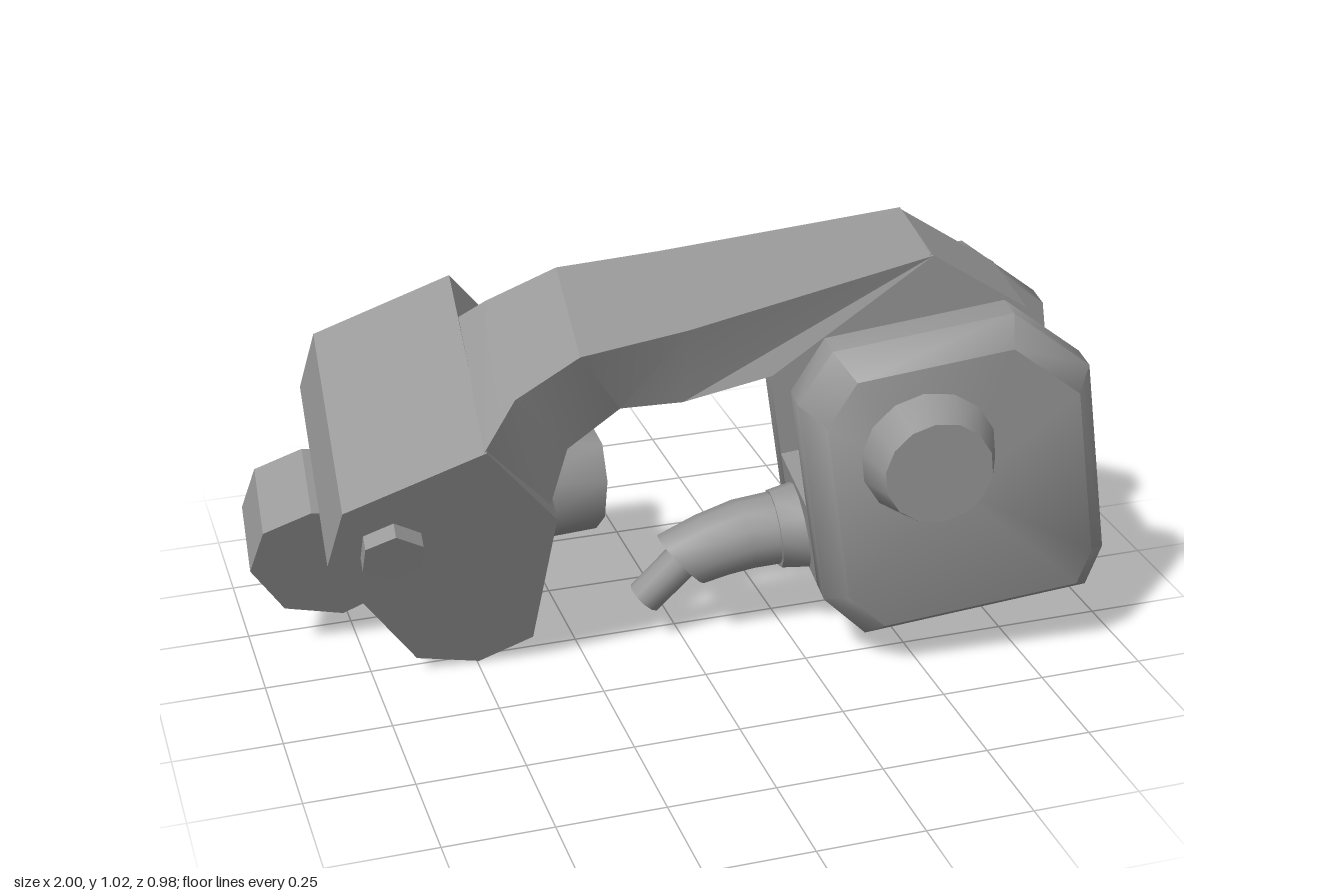
import * as THREE from 'three';
import { toCreasedNormals } from 'three/addons/utils/BufferGeometryUtils.js';

const V = (x, y, z) => new THREE.Vector3(x, y, z);

// Skin through rings of equal point count, with convex end caps; always wound outward.
function loft(rings, crease = 0.3) {
  const tris = [];
  const n = rings[0].length;
  for (let r = 0; r + 1 < rings.length; r++) {
    for (let i = 0; i < n; i++) {
      const j = (i + 1) % n;
      const [a, b, c, d] = [rings[r][i], rings[r][j], rings[r + 1][j], rings[r + 1][i]];
      tris.push([a, b, c], [a, c, d]);
    }
  }
  const cap = (ring, flip) => {
    const mid = ring.reduce((s, p) => s.add(p), V(0, 0, 0)).divideScalar(n);
    for (let i = 0; i < n; i++) {
      const j = (i + 1) % n;
      tris.push(flip ? [mid, ring[j], ring[i]] : [mid, ring[i], ring[j]]);
    }
  };
  cap(rings[0], true);
  cap(rings[rings.length - 1], false);
  const o = rings[0][0];
  let volume = 0;
  for (const [a, b, c] of tris) {
    volume += a.clone().sub(o).dot(b.clone().sub(o).cross(c.clone().sub(o)));
  }
  const points = tris.flatMap(([a, b, c]) => (volume < 0 ? [a, c, b] : [a, b, c]));
  const geometry = new THREE.BufferGeometry().setFromPoints(points);
  return toCreasedNormals(geometry, crease);
}

// Turn a geometry whose axis is +y so that it runs from a towards b.
function aim(geometry, a, b) {
  const q = new THREE.Quaternion().setFromUnitVectors(V(0, 1, 0), b.clone().sub(a).normalize());
  return geometry.applyQuaternion(q).translate(a.x, a.y, a.z);
}

function rod(a, b, ra, rb, sides, crease = 0.7) {
  const length = a.distanceTo(b);
  const g = new THREE.CylinderGeometry(rb, ra, length, sides).translate(0, length / 2, 0);
  return toCreasedNormals(aim(g, a, b), crease);
}

export function createModel() {
  const model = new THREE.Group();
  const grey = new THREE.MeshStandardMaterial({ color: 0x969696 });
  grey.name = 'plain grey';
  const add = (name, geometry) => {
    const mesh = new THREE.Mesh(geometry, grey);
    mesh.name = name;
    model.add(mesh);
  };

  // Tilted frame of the housing
  const axisZ = V(-0.12, -0.03, 0.992).normalize();
  const axisY = V(-0.149, 0.99, 0);
  const axisX = axisY.clone().cross(axisZ).normalize();
  axisY.crossVectors(axisZ, axisX);
  const frame = new THREE.Matrix4().makeBasis(axisX, axisY, axisZ).setPosition(0.6, 0.48, 0.125);
  const local = (u, v, w) => V(u, v, w).applyMatrix4(frame);
  const ring = (outline, w, s = 1) =>
    outline.map(([u, v]) => local(u * s, 0.018 + (v - 0.018) * s, w));

  // Housing: a low core between two chamfered cheeks
  const cheek = [
    [-0.34, 0.28], [-0.34, -0.242], [-0.253, -0.358], [0.29, -0.358],
    [0.339, -0.264], [0.339, 0.224], [0.174, 0.394], [-0.247, 0.394],
  ];
  const core = [
    [-0.34, -0.03], [-0.34, -0.242], [-0.253, -0.358],
    [0.29, -0.358], [0.339, -0.264], [0.339, -0.03],
  ];
  add('housingCore', loft([ring(core, -0.14), ring(core, 0.14)]));
  for (const [side, s] of [['front', 1], ['back', -1]]) {
    add(side + 'Cheek',
      loft([ring(cheek, 0.135 * s), ring(cheek, 0.21 * s), ring(cheek, 0.28 * s, 0.86)], 0.87));
    add(side + 'Knob',
      rod(local(-0.07, 0.122, 0.26 * s), local(-0.07, 0.122, 0.37 * s), 0.165, 0.125, 14));
  }

  // Arm head resting in the slot of the housing
  const head = [
    [-0.396, 0.333], [0.016, 0.545], [0.226, 0.361], [0.213, 0.14], [0.1, 0], [-0.2, -0.03],
  ];
  add('armHead', loft([ring(head, -0.132), ring(head, 0.136)]));

  // Arm: four-sided sections (top front, top back, bottom back, bottom front)
  add('arm', loft([
    [V(-0.525, 0.69, 0.3), V(-0.49, 0.85, -0.08), V(-0.33, 0.6, -0.15), V(-0.36, 0.47, 0.2)],
    [V(-0.44, 0.78, 0.245), V(-0.43, 0.896, -0.05), V(-0.315, 0.73, -0.13), V(-0.31, 0.617, 0.19)],
    [V(-0.29, 0.86, 0.24), V(-0.27, 0.965, -0.03), V(-0.18, 0.79, -0.1), V(-0.18, 0.69, 0.17)],
    [V(-0.035, 0.885, 0.225), V(-0.03, 0.98, -0.02), V(0, 0.78, -0.1), V(-0.035, 0.69, 0.18)],
    [V(0.52, 1.015, 0.275), V(0.55, 1.028, 0), V(0.2, 0.76, -0.06), V(0.16, 0.75, 0.23)],
  ]));

  // End block: a prism leaning back along one direction
  const lean = V(0.04, 0.215, -0.505);
  const prism = (outline, z0, t) => {
    const front = outline.map(([x, y]) => V(x, y, z0 + 0.403 * y + 0.07 * x));
    return loft([front, front.map((p) => p.clone().addScaledVector(lean, t))]);
  };
  add('endBlock', prism([
    [-0.86, 0.39], [-0.83, 0.55], [-0.52, 0.69], [-0.345, 0.46],
    [-0.37, 0.072], [-0.495, 0.008], [-0.645, 0.045],
  ], 0.061, 1));

  // Eight-sided lug behind the end block
  add('sideLug', prism([
    [-1, 0.26], [-0.97, 0.38], [-0.86, 0.43], [-0.7, 0.4],
    [-0.62, 0.27], [-0.69, 0.13], [-0.78, 0.08], [-0.92, 0.12],
  ], -0.145, 0.36));

  // Hexagonal pin through the end block
  const pin = V(-0.72, 0.435, 0.187);
  add('hexPin', rod(pin.clone().addScaledVector(lean, -0.07),
    pin.clone().addScaledVector(lean, 1.13), 0.075, 0.075, 6));

  // Hollow socket facing the housing
  const profile = [[0, 0], [0.147, 0], [0.122, 0.21], [0.085, 0.21], [0.075, 0.12], [0, 0.12]];
  const socket = new THREE.LatheGeometry(profile.map(([r, y]) => new THREE.Vector2(r, y)), 8);
  socket.rotateY(Math.PI / 8);
  add('socket', toCreasedNormals(
    aim(socket, V(-0.375, 0.395, -0.115), V(-0.17, 0.38, -0.11)), 0.85));

  // Bent spout on the inner side of the housing
  add('spoutCollar', rod(V(0.32, 0.285, 0.09), V(0.225, 0.275, 0.08), 0.11, 0.095, 12));
  const bend = [
    [0.3, 0.285, 0.085, -1, -0.08, 0.09],
    [0.15, 0.268, 0.07, -1, -0.22, 0.086],
    [0.075, 0.245, 0.06, -1, -0.45, 0.082],
    [0.0, 0.213, 0.05, -0.75, -0.66, 0.08],
  ];
  add('spout', loft(bend.map(([x, y, z, dx, dy, r]) => {
    const across = V(-dy, dx, 0).normalize();
    return Array.from({ length: 12 }, (_, i) => {
      const t = (i / 12) * Math.PI * 2;
      return V(x, y, z).addScaledVector(across, r * Math.cos(t)).add(V(0, 0, r * Math.sin(t)));
    });
  }), 0.8));
  add('spoutTip', rod(V(0.03, 0.24, 0.055), V(-0.087, 0.115, 0.035), 0.045, 0.044, 10));

  return model;
}
